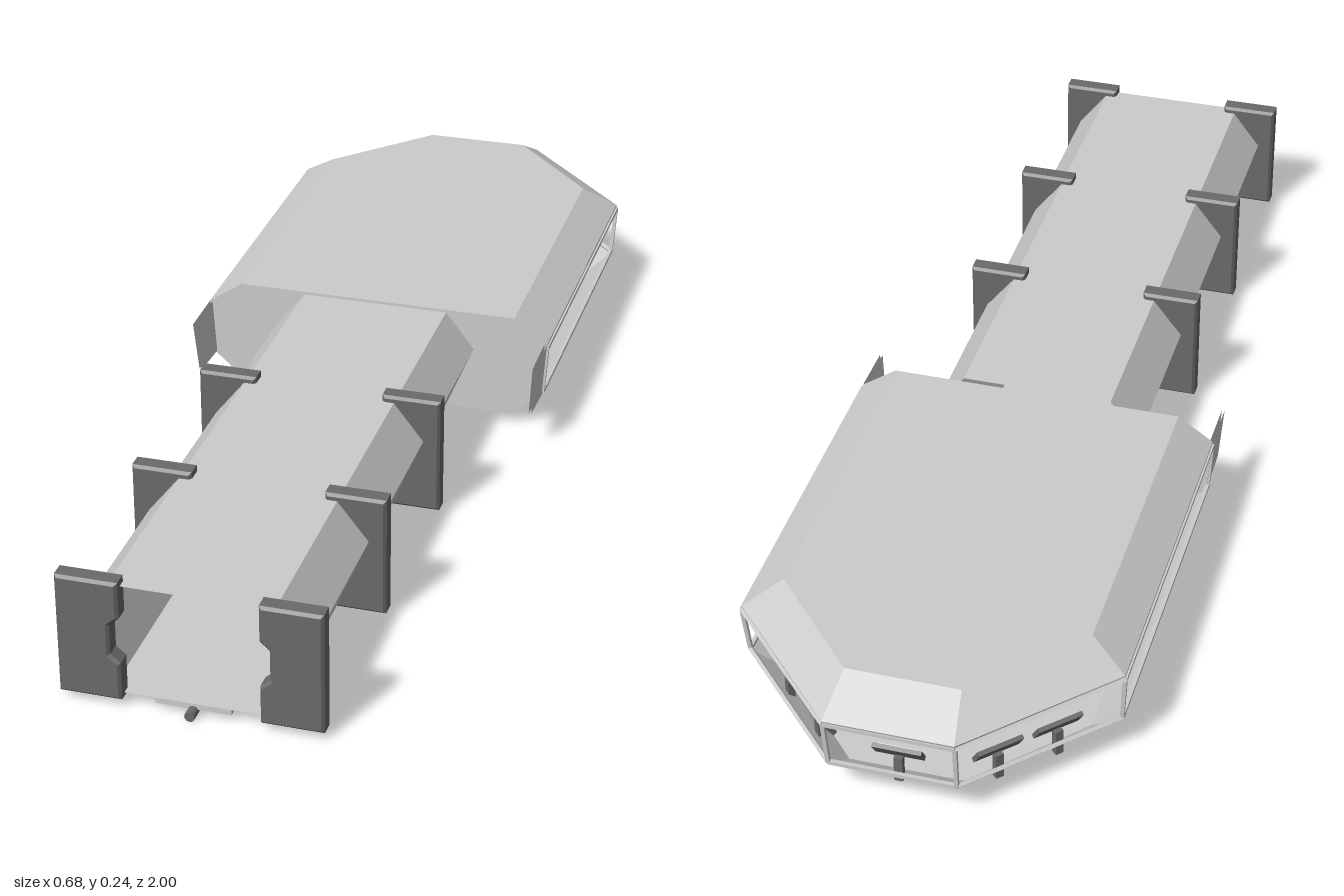
import * as THREE from 'three';

const mat = (color) => new THREE.MeshStandardMaterial({ color, flatShading: true, side: THREE.DoubleSide });
const grey = mat(0xcccccc), dark = mat(0x6a6a6a), pale = mat(0xe6e6e6), orange = mat(0xe08a20);

function add(parent, name, geo, material = grey, x = 0, y = 0, z = 0) {
  const m = new THREE.Mesh(geo, material);
  m.name = name;
  m.position.set(x, y, z);
  parent.add(m);
  return m;
}

const box = (w, h, d) => new THREE.BoxGeometry(w, h, d);

// Faceted surface through a list of matching rows of points
function loft(rows, closed = false) {
  const pos = [];
  for (let r = 0; r < rows.length - 1; r++) {
    const a = rows[r], b = rows[r + 1], n = a.length;
    for (let i = 0; i < (closed ? n : n - 1); i++) {
      const j = (i + 1) % n;
      pos.push(...a[i], ...a[j], ...b[j], ...a[i], ...b[j], ...b[i]);
    }
  }
  return finish(pos);
}

function fan(row, up) {
  const pos = [];
  for (let i = 1; i < row.length - 1; i++) {
    pos.push(...row[0], ...(up ? row[i] : row[i + 1]), ...(up ? row[i + 1] : row[i]));
  }
  return finish(pos);
}

function finish(pos) {
  const g = new THREE.BufferGeometry();
  g.setAttribute('position', new THREE.Float32BufferAttribute(pos, 3));
  g.computeVertexNormals();
  return g;
}

const polygon = (pts) => new THREE.Shape(pts.map(([x, y]) => new THREE.Vector2(x, y)));
const FRONT = -0.11;

// Cabin outline at one height: side, diagonal corner and rear edge
const outline = (y, w, zSide, wRear, zRear) => [
  [w, y, FRONT], [w, y, zSide], [wRear, y, zRear],
  [-wRear, y, zRear], [-w, y, zSide], [-w, y, FRONT]];

function bar(parent, name, a, b, r) {
  const p = new THREE.Vector3(...a), q = new THREE.Vector3(...b);
  const m = add(parent, name, box(r, p.distanceTo(q), r));
  m.position.copy(p).add(q).multiplyScalar(0.5);
  m.quaternion.setFromUnitVectors(new THREE.Vector3(0, 1, 0), q.sub(p).normalize());
}

function makeCorridor() {
  const g = new THREE.Group();
  g.name = 'corridor';
  const section = [[0.14, 0.022], [0.195, 0.155], [0.14, 0.225], [-0.14, 0.225], [-0.195, 0.155], [-0.14, 0.022]];
  const ringAt = (z) => section.map(([x, y]) => [x, y, z]);
  add(g, 'corridorShell', loft([ringAt(-0.1), ringAt(0.98)], true));

  // Rib brackets in pairs, each with a notch on the inner edge
  const inset = 0.005;
  for (const z of [0.977, 0.612, 0.255]) {
    for (const s of [1, -1]) {
      const shape = polygon([
        [0.118, 0.015], [0.225, 0.015], [0.225, 0.237], [0.118, 0.237],
        [0.118, 0.17], [0.135, 0.155], [0.135, 0.1], [0.118, 0.085]]
        .map(([x, y]) => [s * x, y]));
      const geo = new THREE.ExtrudeGeometry(shape, {
        depth: 0.026, bevelEnabled: true, bevelThickness: inset, bevelSize: inset,
        bevelOffset: -inset, bevelSegments: 1 });
      add(g, 'ribBracket', geo, dark, 0, 0, z - 0.013);
    }
  }

  // Underside plate and rail
  add(g, 'undersidePlate', box(0.13, 0.01, 1.09), grey, 0, 0.017, 0.435);
  const rail = add(g, 'rail', new THREE.CylinderGeometry(0.009, 0.009, 1.1, 12), dark, 0, 0.009, 0.45);
  rail.rotation.x = Math.PI / 2;

  // Ceiling lamps
  for (const z of [0.96, 0.6, 0.24]) {
    add(g, 'ceilingLamp', box(0.02, 0.005, 0.08), pale, 0, 0.222, z - 0.04);
    for (const s of [1, -1]) add(g, 'warningLamp', box(0.025, 0.004, 0.02), orange, s * 0.052, 0.2225, z);
  }
  return g;
}

function makeCabin() {
  const g = new THREE.Group();
  g.name = 'cabin';
  const base = outline(0.022, 0.27, -0.73, 0.1, -0.915);
  const low = outline(0.072, 0.328, -0.755, 0.11, -0.985);
  const sill = outline(0.079, 0.329, -0.756, 0.11, -0.986);
  const head = outline(0.172, 0.335, -0.765, 0.112, -0.997);
  const high = outline(0.18, 0.335, -0.765, 0.112, -1);
  const roof = outline(0.225, 0.27, -0.73, 0.1, -0.915);

  add(g, 'floor', fan(base, false));
  add(g, 'lowerHull', loft([base, low, sill]));
  add(g, 'upperHull', loft([head, high, roof]));
  add(g, 'roof', fan(roof, true));

  // Window posts and rails
  sill.forEach((p, i) => {
    bar(g, 'windowPost', p, head[i], 0.007);
    if (i < 5) {
      bar(g, 'windowSill', p, sill[i + 1], 0.007);
      bar(g, 'windowHead', head[i], head[i + 1], 0.007);
    }
  });

  // Front wall with a doorway
  const right = [base, low, head, high, roof].map((r) => [r[0][0], r[0][1]]);
  const left = [...right].reverse().map(([x, y]) => [-x, y]);
  const wall = polygon([...right, ...left]);
  wall.holes.push(polygon([[-0.055, 0.025], [-0.055, 0.176], [0.055, 0.176], [0.055, 0.025]]));
  add(g, 'frontWall', new THREE.ExtrudeGeometry(wall, { depth: 0.006, bevelEnabled: false }), grey, 0, 0, FRONT - 0.006);

  // Side fins reaching forward beside the corridor
  for (const s of [1, -1]) {
    const fin = loft([
      [[s * 0.328, 0.072, FRONT], [s * 0.328, 0.078, -0.018]],
      [[s * 0.335, 0.18, FRONT], [s * 0.335, 0.178, -0.008]]]);
    add(g, 'sideFin', fin);
    const inner = add(g, 'sideFinInner', fin.clone());
    inner.position.x = -s * 0.005;
  }

  // Raised belly panel
  const belly = polygon([
    [-0.1, 0.16], [0.1, 0.16], [0.1, 0.42], [0.07, 0.45], [0.07, 0.7],
    [-0.07, 0.7], [-0.07, 0.45], [-0.1, 0.42]]);
  const panel = add(g, 'bellyPanel', new THREE.ExtrudeGeometry(belly, { depth: 0.003, bevelEnabled: false }), grey, 0, 0.022, 0);
  panel.rotation.x = -Math.PI / 2;
  panel.position.y = 0.0195;
  return g;
}

function makeDoor() {
  const g = new THREE.Group();
  g.name = 'door';
  // Surround with cut upper corners
  const surround = polygon([
    [0.08, 0.022], [0.08, 0.185], [0.066, 0.2], [-0.066, 0.2], [-0.08, 0.185], [-0.08, 0.022],
    [-0.055, 0.022], [-0.055, 0.176], [0.055, 0.176], [0.055, 0.022]]);
  add(g, 'doorSurround', new THREE.ExtrudeGeometry(surround, { depth: 0.016, bevelEnabled: false }), dark, 0, 0, FRONT - 0.003);
  // Interlocking leaves
  const seam = [[-0.001, 0.025], [-0.001, 0.07], [-0.006, 0.078], [-0.006, 0.12], [0, 0.128], [0, 0.176]];
  for (const s of [1, -1]) {
    const edge = seam.map(([x, y]) => [x + s * 0.0005, y]);
    const leaf = polygon([...edge, [s * 0.055, 0.176], [s * 0.055, 0.025]]);
    add(g, 'doorLeaf', new THREE.ExtrudeGeometry(leaf, { depth: 0.005, bevelEnabled: false }), pale, 0, 0, FRONT - 0.005);
    add(g, 'doorControl', box(0.015, 0.042, 0.008), dark, s * 0.067, 0.1, FRONT + 0.016);
    add(g, 'doorControlLight', box(0.005, 0.03, 0.003), pale, s * 0.067, 0.1, FRONT + 0.021);
  }
  add(g, 'doorLampHousing', box(0.08, 0.03, 0.012), dark, 0, 0.189, FRONT + 0.014);
  add(g, 'doorLamp', box(0.052, 0.008, 0.003), pale, 0, 0.188, FRONT + 0.021);
  return g;
}

function makeConsoles() {
  const g = new THREE.Group();
  g.name = 'consoles';
  function console(x, z, turn) {
    const c = new THREE.Group();
    c.name = 'console';
    add(c, 'consoleStem', box(0.015, 0.05, 0.012), dark, 0, 0.06, 0);
    const screen = add(c, 'consoleScreen', box(0.085, 0.034, 0.008), dark, 0, 0.096, 0);
    screen.rotation.x = -0.6;
    const face = add(c, 'consoleDisplay', box(0.07, 0.022, 0.002), grey, 0, 0.099, 0.0042);
    face.rotation.x = -0.6;
    c.position.set(x, 0, z);
    c.rotation.y = turn;
    g.add(c);
  }
  console(0, -0.95, 0);
  for (const s of [1, -1]) {
    console(s * 0.155, -0.9, -s * 0.8);
    console(s * 0.235, -0.82, -s * 0.8);
    const lever = add(g, 'lever', box(0.008, 0.055, 0.005), mat(0xb06a3a), s * 0.24, 0.1, -0.715);
    lever.rotation.x = 0.5;
  }
  return g;
}

export function createModel() {
  const model = new THREE.Group();
  model.name = 'boardingCorridor';
  model.add(makeCorridor(), makeCabin(), makeDoor(), makeConsoles());
  return model;
}
